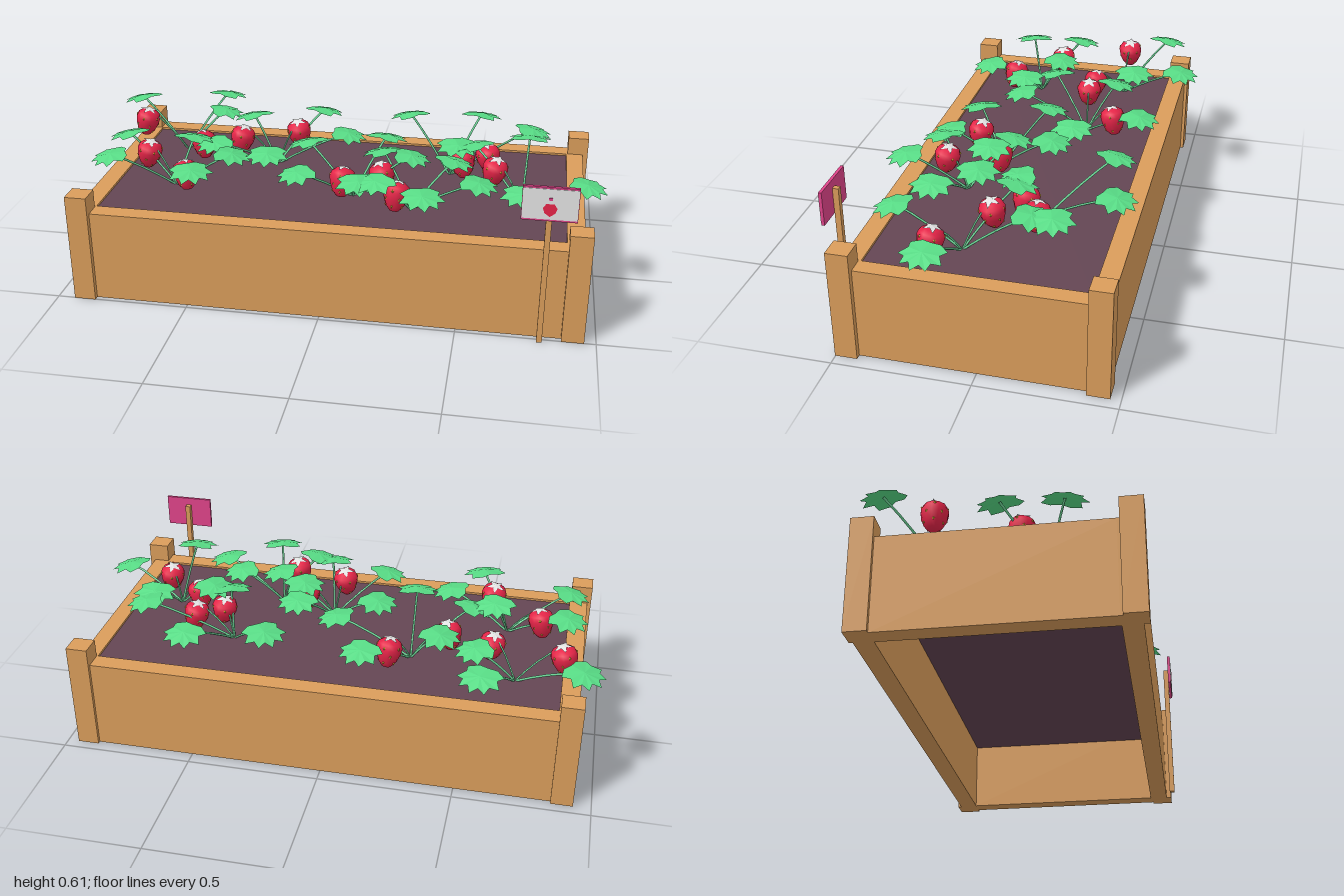
import * as THREE from 'three';
import { mergeGeometries } from 'three/addons/utils/BufferGeometryUtils.js';

const material = (name, color, extra = {}) =>
  Object.assign(new THREE.MeshStandardMaterial({ color, ...extra }), { name });

const wood = material('wood', 0xda9d5b);
const soil = material('soil', 0x644654);
const leafGreen = material('leaf green', 0x58dc86, { side: THREE.DoubleSide, flatShading: true });
const stemGreen = material('stem green', 0x70d89a);
const red = material('berry red', 0xe62448);
const gold = material('seed gold', 0xe0b438, { flatShading: true });
const pale = material('pale grey', 0xe4e4e4, { side: THREE.DoubleSide, flatShading: true });
const pink = material('sign pink', 0xe0448a);

function add(parent, name, geometry, mat) {
  const mesh = new THREE.Mesh(geometry, mat);
  mesh.name = name;
  parent.add(mesh);
  return mesh;
}

// Box given by its minimum and maximum corners
function box(parent, name, mat, [x0, y0, z0], [x1, y1, z1]) {
  const mesh = add(parent, name, new THREE.BoxGeometry(x1 - x0, y1 - y0, z1 - z0), mat);
  mesh.position.set((x0 + x1) / 2, (y0 + y1) / 2, (z0 + z1) / 2);
  return mesh;
}

// Upward-facing triangle fan around the origin; points are [x, y, z]
function fan(points) {
  const positions = [];
  points.forEach((p, i) => positions.push(0, 0, 0, ...points[(i + 1) % points.length], ...p));
  const geometry = new THREE.BufferGeometry();
  geometry.setAttribute('position', new THREE.Float32BufferAttribute(positions, 3));
  geometry.computeVertexNormals();
  return geometry;
}

// Serrated leaf: narrow at the stalk, toothed outside, drooping at the rim
function leafGeometry() {
  const half = [[0.078, 0], [0.05, 0.02], [0.062, 0.05], [0.03, 0.052], [0.018, 0.084],
    [-0.012, 0.06], [-0.042, 0.072], [-0.062, 0.035], [-0.056, 0]];
  const mirrored = half.slice(1, -1).reverse().map(([x, z]) => [x, -z]);
  return fan([...half, ...mirrored].map(([x, z]) => [x, -2.2 * (x * x + z * z), z]));
}

// Five-pointed cap on top of a berry
function calyxGeometry() {
  return fan(Array.from({ length: 10 }, (_, i) => {
    const a = i * Math.PI / 5, r = i % 2 ? 0.017 : 0.039;
    return [r * Math.cos(a), i % 2 ? -0.002 : -0.008, r * Math.sin(a)];
  }));
}

const berryProfile = [[0, -0.06], [0.018, -0.055], [0.034, -0.035], [0.045, -0.005],
  [0.049, 0.02], [0.043, 0.038], [0.026, 0.05], [0, 0.053]];

// Three rings of flat diamond seeds
function seedGeometry() {
  const seeds = [];
  [[-0.034, 0.0335], [-0.004, 0.0435], [0.026, 0.0465]].forEach(([y, r], row) => {
    for (let i = 0; i < 5; i++) {
      const seed = new THREE.OctahedronGeometry(0.0075);
      seed.scale(0.5, 1, 0.7).translate(r, y, 0).rotateY((i + row / 2) * Math.PI / 2.5 + 0.2);
      seeds.push(seed);
    }
  });
  return mergeGeometries(seeds);
}

const shared = {
  leaf: leafGeometry(),
  calyx: calyxGeometry(),
  seeds: seedGeometry(),
  berry: new THREE.LatheGeometry(berryProfile.map(p => new THREE.Vector2(...p)), 12),
};

function stem(parent, name, from, to, lift, radius) {
  const middle = from.clone().lerp(to, 0.55);
  middle.y += lift;
  const curve = new THREE.QuadraticBezierCurve3(from, middle, to);
  add(parent, name, new THREE.TubeGeometry(curve, 4, radius, 5), stemGreen);
}

function buildBerry(x, y, z, heading) {
  const berry = new THREE.Group();
  berry.name = 'berry';
  add(berry, 'berryFlesh', shared.berry, red);
  add(berry, 'berrySeeds', shared.seeds, gold);
  add(berry, 'berryCap', shared.calyx, pale).position.y = 0.058;
  berry.position.set(x, y, z);
  berry.rotation.set(0, heading, 0.22);
  return berry;
}

// Each plant: base [x, z], leaves [x, z, height], berries [x, z, height]
const plants = [
  { base: [-0.68, -0.2],
    leaves: [[-0.92, -0.36, 0.505], [-0.57, -0.46, 0.505], [-0.53, -0.27, 0.5]],
    berries: [[-0.85, -0.2, 0.45], [-0.58, -0.095, 0.41]] },
  { base: [-0.28, -0.12],
    leaves: [[-0.4, -0.22, 0.51], [-0.13, -0.36, 0.495], [0.01, -0.12, 0.49], [-0.26, 0.15, 0.495],
      [-0.49, 0.06, 0.49]],
    berries: [[-0.215, -0.24, 0.425], [-0.42, -0.1, 0.44]] },
  { base: [-0.62, 0.15],
    leaves: [[-0.85, 0.24, 0.49], [-0.5, 0.35, 0.495], [-0.39, 0.17, 0.495], [-0.57, 0.05, 0.51],
      [-0.85, 0.02, 0.495]],
    berries: [[-0.75, 0.08, 0.43], [-0.55, 0.25, 0.43]] },
  { base: [0.07, 0.135],
    leaves: [[-0.13, 0, 0.5], [0.17, -0.08, 0.51], [-0.12, 0.28, 0.485], [0.12, 0.335, 0.49],
      [0.29, 0.13, 0.52]],
    berries: [[0.045, 0.235, 0.44], [0.18, 0.12, 0.42]] },
  { base: [0.415, -0.12],
    leaves: [[0.23, -0.335, 0.51], [0.52, -0.39, 0.505], [0.73, -0.21, 0.52], [0.45, -0.02, 0.51]],
    berries: [[0.565, -0.12, 0.42], [0.47, -0.055, 0.42]] },
  { base: [0.3, 0.21],
    leaves: [[0.36, 0.43, 0.495], [0.18, 0.34, 0.5], [0.55, 0.27, 0.49], [0.45, 0.125, 0.51],
      [0.175, 0.065, 0.51]],
    berries: [[0.255, 0.305, 0.43]] },
  { base: [0.705, 0.11],
    leaves: [[0.94, 0.17, 0.465], [0.71, 0.35, 0.495], [0.72, -0.14, 0.52], [0.51, -0.04, 0.515]],
    berries: [[0.775, 0.2, 0.4], [0.595, 0.03, 0.43]] },
];

function buildPlant({ base: [bx, bz], leaves, berries }) {
  const plant = new THREE.Group();
  plant.name = 'strawberryPlant';
  const root = new THREE.Vector3(bx, 0.335, bz);
  const heading = (x, z) => -Math.atan2(z - bz, x - bx);
  for (const [x, z, y] of leaves) {
    stem(plant, 'leafStem', root, new THREE.Vector3(x, y - 0.004, z), 0.02, 0.0045);
    const leaf = add(plant, 'leaf', shared.leaf, leafGreen);
    leaf.position.set(x, y, z);
    leaf.rotation.set(0, heading(x, z), -0.2);
  }
  for (const [x, z, y] of berries) {
    stem(plant, 'berryStem', root, new THREE.Vector3(x, y + 0.055, z), 0.04, 0.0035);
    plant.add(buildBerry(x, y, z, heading(x, z)));
  }
  return plant;
}

function buildBed() {
  const bed = new THREE.Group();
  bed.name = 'raisedBed';
  box(bed, 'frontBoard', wood, [-0.92, 0, 0.412], [0.937, 0.35, 0.482]);
  box(bed, 'backBoard', wood, [-0.92, 0, -0.45], [0.937, 0.35, -0.38]);
  box(bed, 'rightBoard', wood, [-0.92, 0, -0.38], [-0.85, 0.35, 0.412]);
  box(bed, 'leftBoard', wood, [0.872, 0, -0.38], [0.937, 0.35, 0.412]);
  for (const x of [-0.935, 0.877])
    for (const z of [-0.463, 0.421])
      box(bed, 'cornerPost', wood, [x, 0, z], [x + 0.081, 0.42, z + 0.081]);
  box(bed, 'soil', soil, [-0.85, 0.28, -0.38], [0.872, 0.342, 0.412]);
  return bed;
}

function buildSign() {
  const sign = new THREE.Group();
  sign.name = 'gardenSign';
  box(sign, 'signStake', wood, [0.79, 0, 0.499], [0.81, 0.58, 0.52]);
  box(sign, 'signBoard', pink, [0.705, 0.485, 0.52], [0.895, 0.61, 0.531]);
  box(sign, 'signFace', pale, [0.707, 0.492, 0.529], [0.893, 0.604, 0.533]);
  // Painted berry and its stalk on the face
  const outline = new THREE.Shape([[0, -0.027], [0.018, -0.014], [0.024, 0.004], [0.014, 0.02],
    [-0.014, 0.02], [-0.024, 0.004], [-0.018, -0.014]].map(p => new THREE.Vector2(...p)));
  add(sign, 'paintedBerry', new THREE.ShapeGeometry(outline), red).position.set(0.8, 0.53, 0.535);
  box(sign, 'paintedStalk', pink, [0.793, 0.563, 0.532], [0.807, 0.572, 0.535]);
  return sign;
}

export function createModel() {
  const model = new THREE.Group();
  model.name = 'strawberryBed';
  model.add(buildBed(), buildSign(), ...plants.map(buildPlant));
  return model;
}
